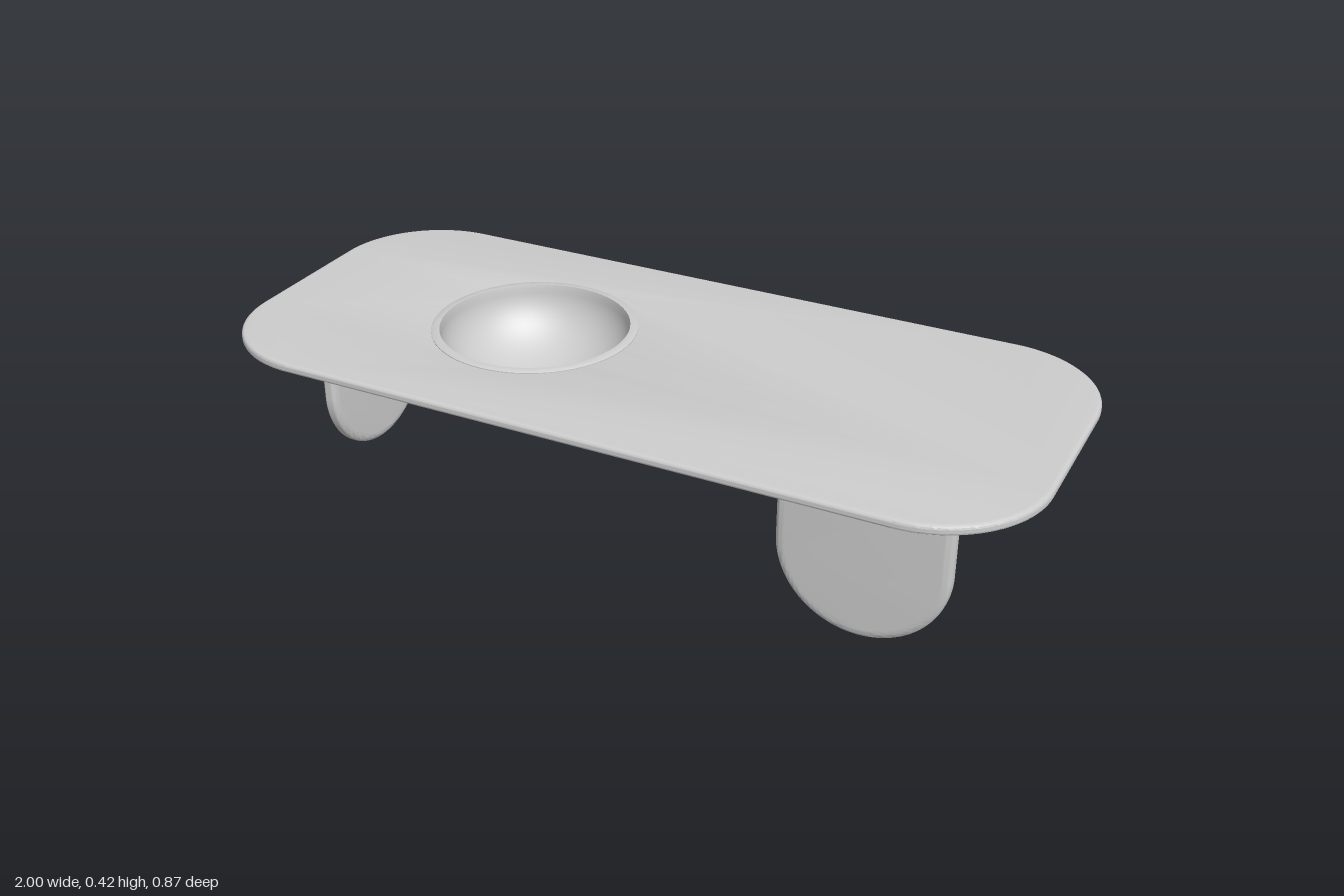
import * as THREE from 'three';
import { toCreasedNormals } from 'three/addons/utils/BufferGeometryUtils.js';

const BOWL_X = -0.325;

// Rectangle with rounded corners, centred on the origin
function roundedRect(w, h, r) {
  const s = new THREE.Shape();
  s.absarc(w / 2 - r, h / 2 - r, r, 0, Math.PI / 2);
  s.absarc(-w / 2 + r, h / 2 - r, r, Math.PI / 2, Math.PI);
  s.absarc(-w / 2 + r, -h / 2 + r, r, Math.PI, Math.PI * 1.5);
  s.absarc(w / 2 - r, -h / 2 + r, r, Math.PI * 1.5, Math.PI * 2);
  s.closePath();
  return s;
}

// Bevelled slab whose outline keeps its size; centred on its thickness
function slab(shape, thickness, bevelSize, bevelThickness, segments) {
  const depth = thickness - 2 * bevelThickness;
  const g = new THREE.ExtrudeGeometry(shape, {
    depth, bevelSize, bevelThickness, bevelOffset: -bevelSize, bevelSegments: segments, curveSegments: 32,
  });
  g.translate(0, 0, -depth / 2);
  return toCreasedNormals(g, 0.6);
}

export function createModel() {
  const model = new THREE.Group();
  model.name = 'table';
  const gray = new THREE.MeshStandardMaterial({ color: 0xcccccc });
  gray.name = 'light gray';

  const add = (parent, name, geometry, x = 0, y = 0, z = 0) => {
    const mesh = new THREE.Mesh(geometry, gray);
    mesh.name = name;
    mesh.position.set(x, y, z);
    parent.add(mesh);
    return mesh;
  };

  // Table top with a round opening for the bowl
  const top = roundedRect(2, 0.872, 0.26);
  const hole = new THREE.Path();
  hole.absarc(BOWL_X, 0, 0.234, 0, Math.PI * 2, true);
  top.holes.push(hole);
  add(model, 'tableTop', slab(top, 0.024, 0.011, 0.008, 3).rotateX(-Math.PI / 2), 0, 0.41, 0);

  // Sunken bowl: outer wall upwards, over the flat rim, inner wall downwards
  const profile = [];
  const n = 20;
  for (let i = 0; i <= n; i++) {
    const a = (i / n) * Math.PI / 2;
    profile.push(new THREE.Vector2(0.25 * Math.sin(a), 0.412 - 0.175 * Math.cos(a)));
  }
  profile.push(new THREE.Vector2(0.25, 0.424), new THREE.Vector2(0.245, 0.427), new THREE.Vector2(0.23, 0.427));
  for (let i = n; i >= 0; i--) {
    const a = (i / n) * Math.PI / 2;
    profile.push(new THREE.Vector2(0.228 * Math.sin(a), 0.418 - 0.165 * Math.cos(a)));
  }
  add(model, 'bowl', toCreasedNormals(new THREE.LatheGeometry(profile, 64), 0.6), BOWL_X, 0, 0);

  // Paddle-shaped legs with a mounting plate under the top
  const addLeg = (name, x, z, bottom, turn) => {
    const leg = new THREE.Group();
    leg.name = name;
    const s = new THREE.Shape();
    s.moveTo(0.2, 0.4);
    s.lineTo(-0.2, 0.4);
    s.lineTo(-0.2, bottom + 0.2);
    s.absarc(0, bottom + 0.2, 0.2, Math.PI, Math.PI * 2);
    s.closePath();
    add(leg, name + 'Paddle', slab(s, 0.038, 0.022, 0.014, 6));
    const plate = slab(roundedRect(0.44, 0.076, 0.03), 0.014, 0.003, 0.003, 2).rotateX(-Math.PI / 2);
    add(leg, name + 'Plate', plate, 0, 0.394, 0);
    leg.position.set(x, 0, z);
    leg.rotation.y = turn;
    model.add(leg);
  };
  addLeg('frontLeg', 0.637, 0.276, 0.01, 0);
  addLeg('backLeg', 0.2, -0.274, 0.01, 0);
  addLeg('rightEndLeg', -0.813, 0, 0.002, Math.PI / 2);

  return model;
}
